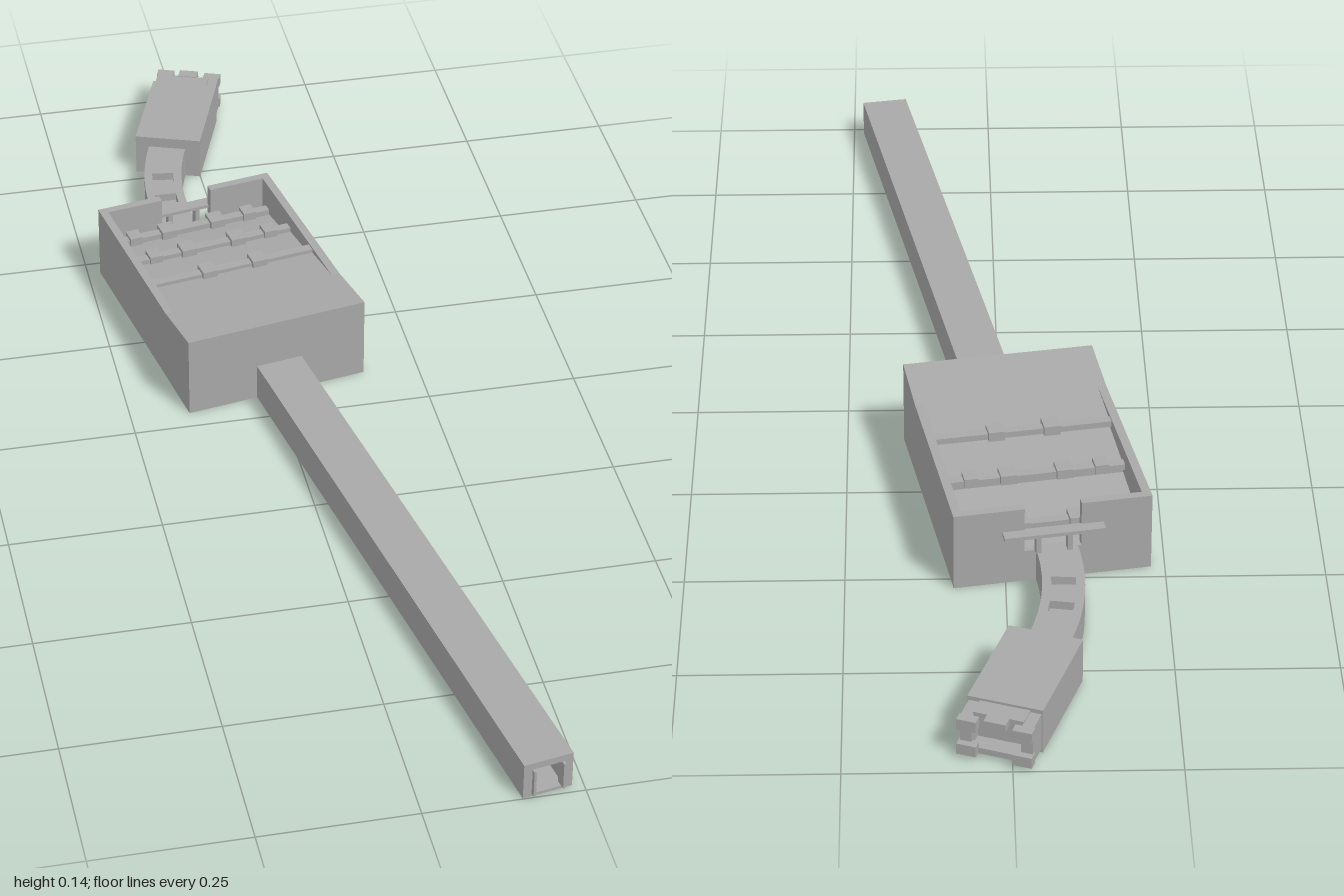
import * as THREE from 'three';

const grey = new THREE.MeshStandardMaterial({ color: 0xa8a8a8 });
grey.name = 'plain grey';

function add(parent, name, geometry, x = 0, y = 0, z = 0) {
  const mesh = new THREE.Mesh(geometry, grey);
  mesh.name = name;
  mesh.position.set(x, y, z);
  parent.add(mesh);
  return mesh;
}

// box given by its centre in x and z and by its underside in y
const box = (parent, name, w, h, d, x, y, z) =>
  add(parent, name, new THREE.BoxGeometry(w, h, d), x, y + h / 2, z);

const outline = (points) => new THREE.Shape(points.map(([x, y]) => new THREE.Vector2(x, y)));
const rect = (w, y0, y1) => [[-w / 2, y0], [w / 2, y0], [w / 2, y1], [-w / 2, y1]];
const extrude = (shape, depth) => new THREE.ExtrudeGeometry(shape, { depth, bevelEnabled: false });

// side profile of [distance back, height], stretched across a width
function sideProfile(points, width) {
  return extrude(outline(points), width).rotateY(Math.PI / 2).translate(-width / 2, 0, 0);
}

// long hollow passage with ribs on its inner walls
function buildPassage(parent) {
  const length = 1.072, x = 0.007;
  const section = outline(rect(0.08, 0, 0.064));
  section.holes.push(new THREE.Path(rect(0.052, 0.005, 0.052).map(([a, b]) => new THREE.Vector2(a, b))));
  add(parent, 'longPassage', extrude(section, length), x, 0, 0);
  for (let z = 0.05; z < length; z += 0.06) {
    for (const s of [-1, 1]) box(parent, 'passageRib', 0.004, 0.047, 0.018, x + s * 0.024, 0.005, z);
  }
}

// wide hall with a stepped floor that falls towards the back
function buildHall(parent) {
  const hall = new THREE.Group();
  hall.name = 'hall';
  hall.position.x = 0.003;
  parent.add(hall);

  add(hall, 'steppedFloor', sideProfile([
    [0, 0], [0.43, 0], [0.43, 0.055], [0.4, 0.058], [0.4, 0.075], [0.3, 0.088],
    [0.3, 0.102], [0.2, 0.112], [0.2, 0.122], [0, 0.144],
  ], 0.314));

  for (const s of [-1, 1]) {
    add(hall, 'sideWall', sideProfile([[0.1, 0], [0.442, 0], [0.442, 0.132], [0.1, 0.132]], 0.014), s * 0.15);
    box(hall, 'backWall', 0.112, 0.132, 0.014, s * 0.101, 0, -0.435);
    box(hall, 'doorPost', 0.008, 0.035, 0.014, s * 0.025, 0.055, -0.447);
  }
  box(hall, 'doorSill', 0.09, 0.055, 0.014, 0, 0, -0.435);
  box(hall, 'doorLintel', 0.16, 0.006, 0.022, 0, 0.088, -0.45);

  // cross rails with small blocks along them
  [[0.205, 0.119], [0.305, 0.1], [0.405, 0.075]].forEach(([d, y], row) => {
    box(hall, 'crossRail', 0.288, 0.01, 0.016, 0, y, -d);
    for (const s of [-1, 1]) {
      box(hall, 'railBlock', 0.026, 0.016, 0.03, s * 0.045, y, -d);
      if (row > 0) box(hall, 'outerRailBlock', 0.022, 0.016, 0.026, s * 0.105, y, -d);
    }
  });
}

// curved passage: a plain body with a roof pierced by two hatches
function buildBend(parent) {
  const curve = new THREE.QuadraticBezierCurve(
    new THREE.Vector2(-0.078, 0.485), new THREE.Vector2(-0.105, 0.63), new THREE.Vector2(-0.053, 0.765));
  const at = (t, side, along = 0) => {
    const p = curve.getPoint(t), d = curve.getTangent(t);
    return new THREE.Vector2(p.x + d.y * side + d.x * along, p.y - d.x * side + d.y * along);
  };
  const steps = 10, half = 0.033, edge = [];
  for (let i = 0; i <= steps; i++) edge.push(at(i / steps, half));
  for (let i = steps; i >= 0; i--) edge.push(at(i / steps, -half));

  add(parent, 'bendBody', extrude(new THREE.Shape(edge), 0.042).rotateX(-Math.PI / 2));
  const roof = new THREE.Shape(edge);
  for (const t of [0.38, 0.62]) {
    roof.holes.push(new THREE.Path([
      at(t, -0.019, -0.014), at(t, 0.019, -0.014), at(t, 0.019, 0.014), at(t, -0.019, 0.014)]));
  }
  add(parent, 'bendRoof', extrude(roof, 0.014).rotateX(-Math.PI / 2), 0, 0.042, 0);
}

// end chamber with a framed recess at its far face
function buildChamber(parent) {
  const chamber = new THREE.Group();
  chamber.name = 'endChamber';
  chamber.position.set(-0.055, 0, -0.755);
  chamber.rotation.y = THREE.MathUtils.degToRad(-20);
  parent.add(chamber);

  box(chamber, 'chamberBody', 0.117, 0.075, 0.19, 0, 0, -0.095);
  for (const s of [-1, 1]) {
    box(chamber, 'frameSide', 0.018, 0.062, 0.04, s * 0.047, 0.006, -0.21);
    for (const y of [0.006, 0.05]) {
      box(chamber, 'cornerBracket', 0.03, 0.018, 0.016, s * 0.043, y, -0.233);
    }
  }
  box(chamber, 'frameTop', 0.078, 0.012, 0.03, 0, 0.059, -0.205);
  box(chamber, 'frameBottom', 0.078, 0.01, 0.04, 0, 0.006, -0.21);
  box(chamber, 'recessedDoor', 0.076, 0.044, 0.012, 0, 0.016, -0.196);
  box(chamber, 'topLatch', 0.034, 0.012, 0.02, 0, 0.06, -0.228);
}

export function createModel() {
  const model = new THREE.Group();
  model.name = 'passageComplex';

  // hall and long passage share one slightly turned axis
  const main = new THREE.Group();
  main.name = 'mainAxis';
  main.position.z = -0.0625;
  main.rotation.y = THREE.MathUtils.degToRad(10);
  model.add(main);

  buildPassage(main);
  buildHall(main);
  buildBend(model);
  buildChamber(model);
  return model;
}
